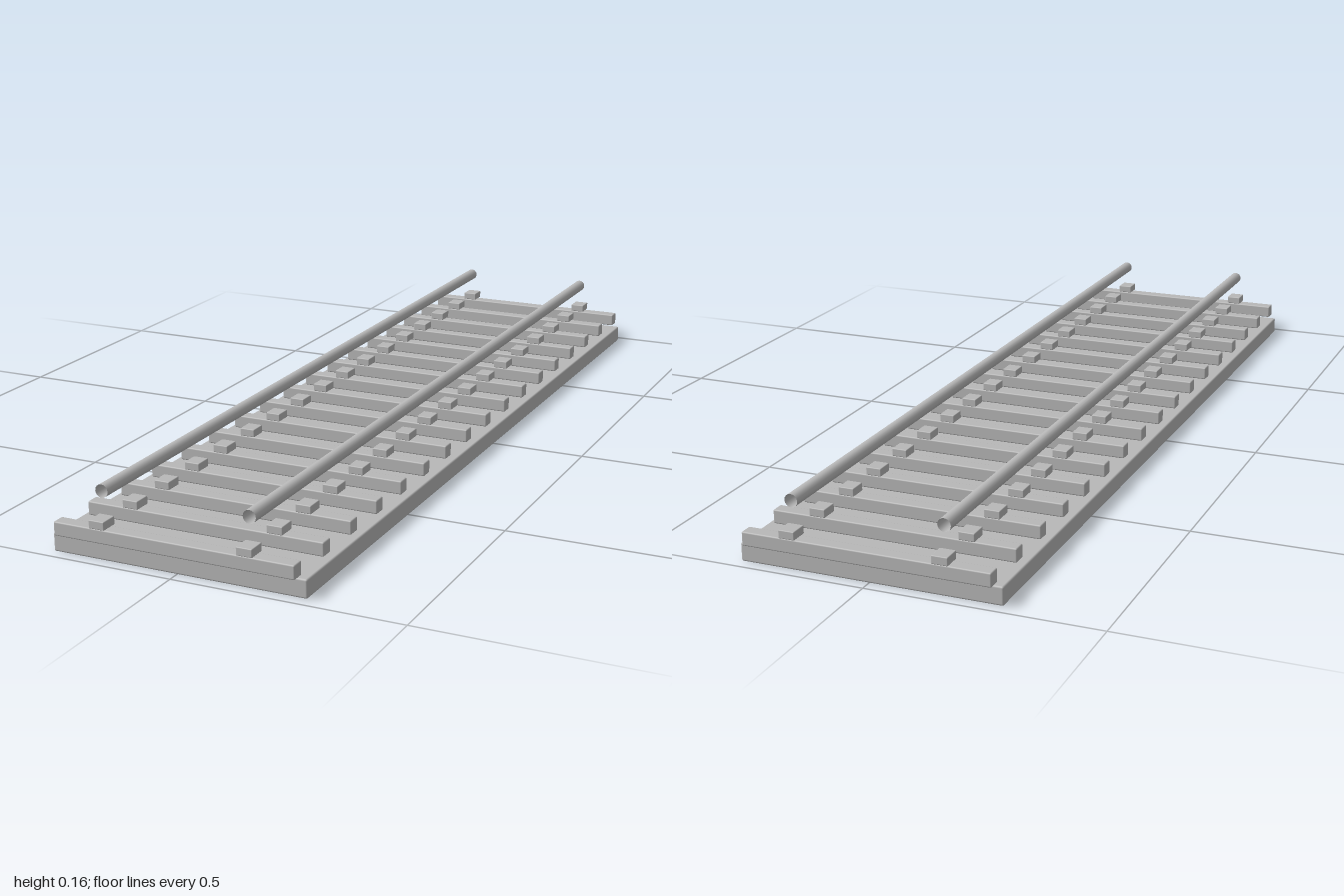
import * as THREE from 'three';
import { RoundedBoxGeometry } from 'three/addons/geometries/RoundedBoxGeometry.js';

const TIES = 17;
const TIE_SPAN = 1.96;
const RAIL_X = 0.164;

export function createModel() {
  const model = new THREE.Group();
  model.name = 'railwayTrack';
  const grey = new THREE.MeshStandardMaterial({ color: 0xb8b8b8, side: THREE.DoubleSide });
  grey.name = 'plain grey';

  const add = (name, geometry, x, y, z) => {
    const mesh = new THREE.Mesh(geometry, grey);
    mesh.name = name;
    mesh.position.set(x, y, z);
    model.add(mesh);
    return mesh;
  };

  // Bed slab with slightly softened edges
  add('bed', new RoundedBoxGeometry(0.568, 0.04, 1.95, 2, 0.004), 0, 0.02, 0);

  // Cross ties, each with a pad under either rail
  const tie = new RoundedBoxGeometry(0.536, 0.03, 0.03, 2, 0.003);
  const pad = new RoundedBoxGeometry(0.035, 0.018, 0.04, 2, 0.002);
  for (let i = 0; i < TIES; i++) {
    const z = TIE_SPAN * (i / (TIES - 1) - 0.5);
    add('tie', tie, 0, 0.0585, z);
    for (const side of [-1, 1]) add('railPad', pad, side * RAIL_X, 0.084, z);
  }

  // Round rails, open at both ends, floating above the pads
  const rail = new THREE.CylinderGeometry(0.0142, 0.0142, 1.95, 16, 1, true);
  rail.rotateX(Math.PI / 2);
  add('leftRail', rail, RAIL_X, 0.147, 0);
  add('rightRail', rail, -RAIL_X, 0.147, 0);

  return model;
}
